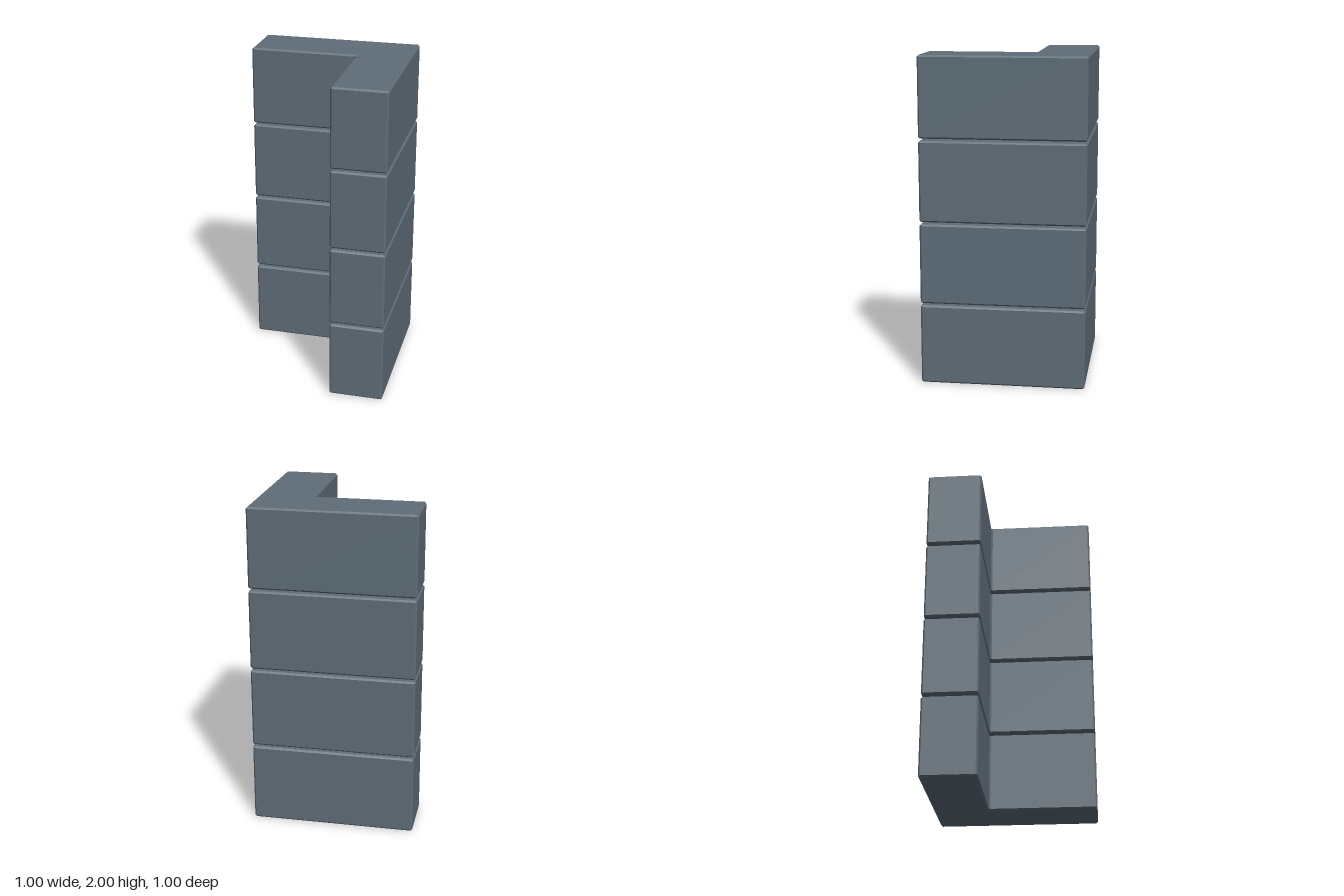
import * as THREE from 'three';

const BEVEL = 0.01, HEIGHT = 0.49, COUNT = 4;
const PITCH = (2 - HEIGHT) / (COUNT - 1);

// L-shaped plan as (x, z), counter-clockwise seen from above
const PLAN = [[-0.5, -0.163], [0.163, -0.163], [0.163, 0.5], [0.5, 0.5], [0.5, -0.5], [-0.5, -0.5]]
  .map(([x, z]) => new THREE.Vector2(x, z));

// Block with chamfered edges: every plan corner gives two wall points and one cap point
function blockGeometry() {
  const wall = [], cap = [];
  PLAN.forEach((p, i) => {
    const before = p.clone().sub(PLAN[(i + 5) % 6]).normalize();
    const after = PLAN[(i + 1) % 6].clone().sub(p).normalize();
    const turn = before.cross(after) < 0 ? 1 : -1; // -1 at the inner corner
    wall.push(p.clone().addScaledVector(before, -BEVEL), p.clone().addScaledVector(after, BEVEL));
    cap.push(p.clone().addScaledVector(after.clone().sub(before), BEVEL * turn));
  });

  const positions = [];
  const tri = (...corners) => corners.forEach(([p, y]) => positions.push(p.x, y, p.y));
  const quad = (a, b, c, d) => { tri(a, b, c); tri(a, c, d); };
  const low = BEVEL, high = HEIGHT - BEVEL;

  for (let i = 0; i < 12; i++) {
    const a = wall[i], b = wall[(i + 1) % 12];
    const ca = cap[i >> 1], cb = cap[((i + 1) % 12) >> 1];
    quad([a, low], [b, low], [b, high], [a, high]);
    if (ca === cb) { // corner facets
      tri([a, high], [b, high], [ca, HEIGHT]);
      tri([b, low], [a, low], [ca, 0]);
    } else { // long chamfers
      quad([a, high], [b, high], [cb, HEIGHT], [ca, HEIGHT]);
      quad([b, low], [a, low], [ca, 0], [cb, 0]);
    }
  }
  // Top and bottom, two quads each
  for (const arm of [[0, 1, 4, 5], [1, 2, 3, 4]]) {
    quad(...arm.map(i => [cap[i], HEIGHT]));
    quad(...arm.slice().reverse().map(i => [cap[i], 0]));
  }

  const geometry = new THREE.BufferGeometry();
  geometry.setAttribute('position', new THREE.Float32BufferAttribute(positions, 3));
  geometry.computeVertexNormals();
  return geometry;
}

export function createModel() {
  const group = new THREE.Group();
  group.name = 'cornerWall';
  const slate = new THREE.MeshStandardMaterial({ color: 0x5f6d78 });
  slate.name = 'slate';

  // Stacked corner blocks with thin open joints
  const geometry = blockGeometry();
  for (let i = 0; i < COUNT; i++) {
    const block = new THREE.Mesh(geometry, slate);
    block.name = `cornerBlock${i + 1}`;
    block.position.y = i * PITCH;
    group.add(block);
  }
  return group;
}
